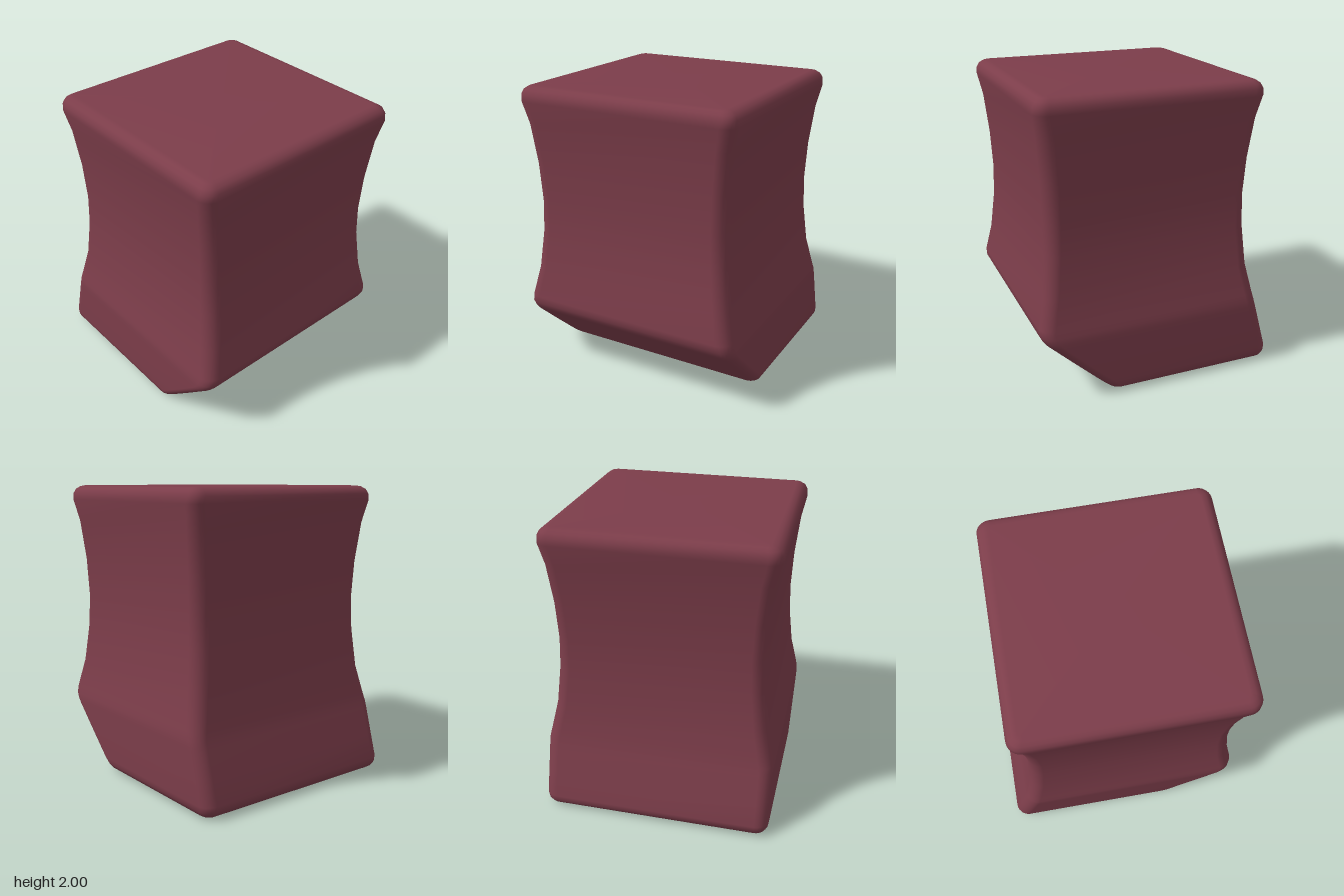
import * as THREE from 'three';

// Cross-sections going up: [y, left x, right x, half depth, corner radius]
const sections = [
  [0.0, -0.745, 0.28, 0.7, 0.02],
  [0.007, -0.779, 0.318, 0.734, 0.05],
  [0.025, -0.807, 0.357, 0.762, 0.07],
  [0.053, -0.825, 0.391, 0.779, 0.085],
  [0.09, -0.828, 0.432, 0.785, 0.09],
  [0.25, -0.783, 0.605, 0.785, 0.09],
  [0.41, -0.738, 0.775, 0.785, 0.09],
  [0.44, -0.729, 0.8, 0.785, 0.09],
  [0.48, -0.718, 0.821, 0.783, 0.09],
  [0.53, -0.706, 0.825, 0.772, 0.09],
  [0.73, -0.665, 0.785, 0.73, 0.09],
  [1.0, -0.642, 0.756, 0.702, 0.09],
  [1.22, -0.635, 0.75, 0.695, 0.09],
  [1.48, -0.648, 0.761, 0.706, 0.09],
  [1.75, -0.675, 0.786, 0.735, 0.09],
  [1.9, -0.705, 0.817, 0.767, 0.09],
  [1.945, -0.702, 0.814, 0.763, 0.085],
  [1.975, -0.684, 0.796, 0.746, 0.07],
  [1.993, -0.656, 0.768, 0.718, 0.05],
  [2.0, -0.622, 0.734, 0.684, 0.02],
];

const CORNER_STEPS = 6;

// Rounded rectangle, counter-clockwise seen from above
function ring([y, left, right, depth, r]) {
  const points = [];
  const corners = [[right - r, depth - r], [left + r, depth - r], [left + r, r - depth], [right - r, r - depth]];
  corners.forEach(([cx, cz], k) => {
    for (let s = 0; s <= CORNER_STEPS; s++) {
      const a = (k + s / CORNER_STEPS) * Math.PI / 2;
      points.push(cx + r * Math.cos(a), y, -(cz + r * Math.sin(a)));
    }
  });
  return points;
}

// Skin the rings together and close both ends
function loft(list) {
  const n = 4 * (CORNER_STEPS + 1);
  const positions = list.flatMap(ring);
  const index = [];
  for (let i = 0; i < list.length - 1; i++) {
    for (let j = 0; j < n; j++) {
      const a = i * n + j, b = i * n + (j + 1) % n;
      index.push(a, b, b + n, a, b + n, a + n);
    }
  }
  const bottom = positions.length / 3, top = bottom + 1, last = (list.length - 1) * n;
  for (const [y, left, right] of [list[0], list[list.length - 1]]) positions.push((left + right) / 2, y, 0);
  for (let j = 0; j < n; j++) {
    const k = (j + 1) % n;
    index.push(bottom, k, j, top, last + j, last + k);
  }
  const geometry = new THREE.BufferGeometry();
  geometry.setAttribute('position', new THREE.Float32BufferAttribute(positions, 3));
  geometry.setIndex(index);
  geometry.computeVertexNormals();
  return geometry;
}

export function createModel() {
  const group = new THREE.Group();
  group.name = 'waistedBlock';
  // Waisted block with a slanted cut under its left side
  const body = new THREE.Mesh(loft(sections), new THREE.MeshStandardMaterial({ color: 0x7c3d4a }));
  body.name = 'body';
  group.add(body);
  return group;
}
